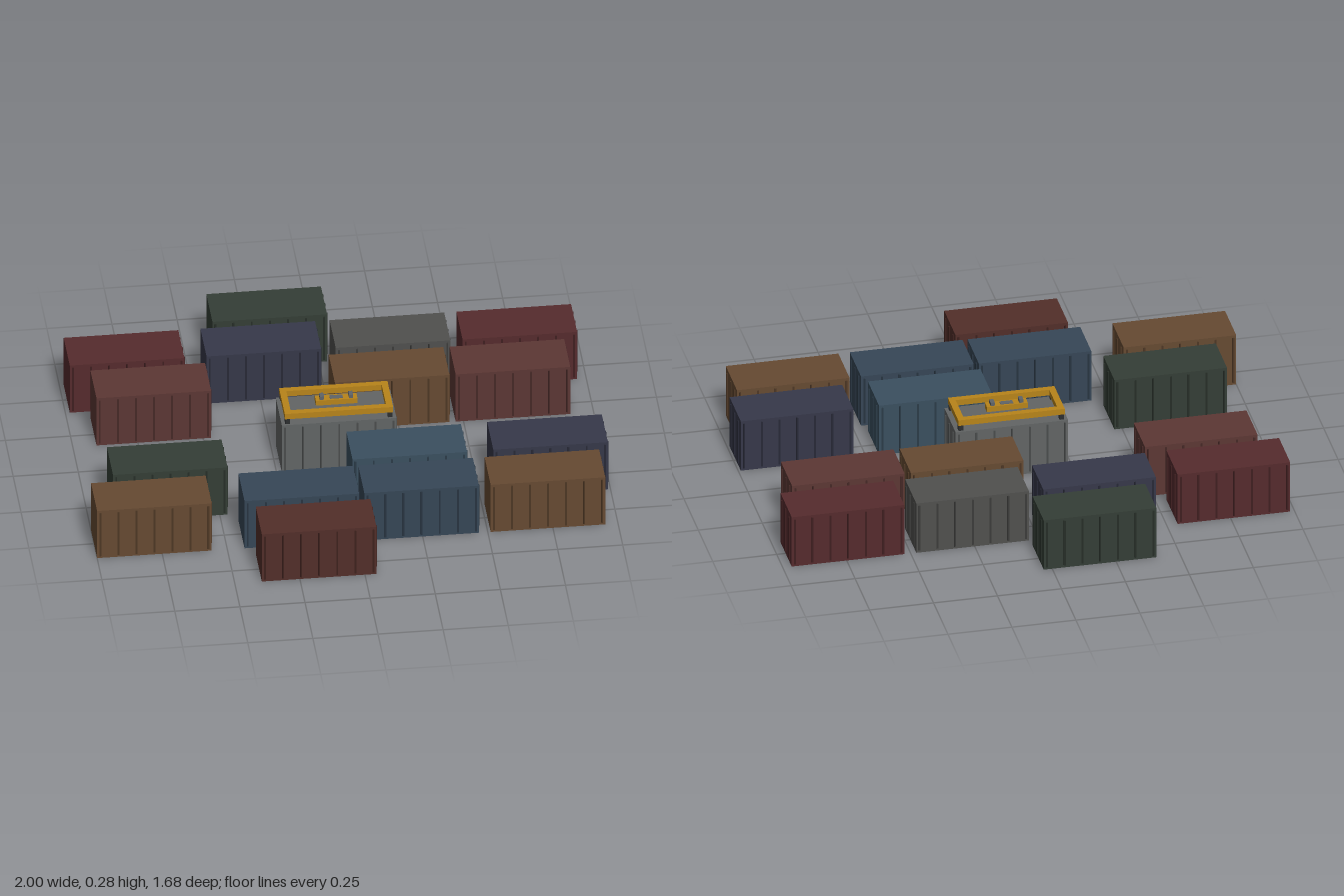
import * as THREE from 'three';

const L = 0.44, H = 0.215, W = 0.194; // container length, height, width

const paint = (color) => new THREE.MeshStandardMaterial({ color });

function addBox(parent, name, material, size, pos) {
  const mesh = new THREE.Mesh(new THREE.BoxGeometry(...size), material);
  mesh.name = name;
  mesh.position.set(...pos);
  parent.add(mesh);
  return mesh;
}

// Shipping container: plain body, thin ribs on both long sides, bars on the +x door end
function makeContainer(color) {
  const group = new THREE.Group();
  group.name = 'container';
  const body = paint(color);
  const rib = paint(new THREE.Color(color).multiplyScalar(0.55));
  addBox(group, 'containerBody', body, [L, H, W], [0, H / 2, 0]);
  for (let i = -3; i <= 3; i++) {
    for (const s of [-1, 1]) {
      addBox(group, 'sideRib', rib, [0.007, H - 0.02, 0.008], [i * 0.0693, H / 2, s * W / 2]);
    }
  }
  for (let i = -1; i <= 1; i++) {
    addBox(group, 'doorBar', rib, [0.01, H - 0.03, 0.007], [L / 2, H / 2, i * 0.065]);
  }
  return group;
}

// Lifting frame that sits on the middle container
function makeSpreader() {
  const group = new THREE.Group();
  group.name = 'liftingFrame';
  const yellow = paint(0xb8841a), dark = paint(0x2c2e30), grey = paint(0x606468);
  const hx = 0.208, hz = 0.091, beam = 0.025, y = 0.25;
  for (const s of [-1, 1]) {
    addBox(group, 'longBeam', yellow, [2 * hx, 0.024, beam], [0, y, s * (hz - beam / 2)]);
    addBox(group, 'crossBeam', yellow, [beam, 0.024, 2 * (hz - beam)], [s * (hx - beam / 2), y, 0]);
    // Corner locks reaching down to the roof
    for (const t of [-1, 1]) {
      addBox(group, 'cornerLock', dark, [0.018, 0.028, 0.018], [s * (hx - 0.011), 0.226, t * (hz - 0.011)]);
    }
    addBox(group, 'liftingLug', grey, [0.016, 0.018, 0.028], [s * 0.056, 0.27, 0]);
  }
  addBox(group, 'headBlock', yellow, [0.16, 0.022, 0.038], [0, 0.254, 0]);
  addBox(group, 'headPlate', grey, [0.05, 0.004, 0.022], [0, 0.265, 0]);
  return group;
}

export function createModel() {
  const model = new THREE.Group();
  model.name = 'containerYard';
  const brown = 0x664a32, red = 0x552b2d, green = 0x343e36, navy = 0x363849;
  const grey = 0x50504e, maroon = 0x5c3734, rust = 0x522e29, blue = 0x364656;

  // x, z and colour of each container
  const layout = [
    [-0.187, -0.743, green],
    [-0.763, -0.508, red], [-0.238, -0.508, navy], [0.258, -0.508, grey], [0.745, -0.508, red],
    [-0.689, -0.271, maroon], [0.226, -0.271, brown], [0.69, -0.271, maroon],
    [-0.01, 0, 0x626565],
    [-0.69, 0.263, green], [0.229, 0.266, 0x3a4f5f], [0.77, 0.263, navy],
    [-0.78, 0.503, brown], [-0.214, 0.503, blue], [0.246, 0.503, blue], [0.731, 0.503, brown],
    [-0.176, 0.739, rust],
  ];
  for (const [x, z, color] of layout) {
    const container = makeContainer(color);
    container.position.set(x, 0, z);
    model.add(container);
  }

  const spreader = makeSpreader();
  spreader.position.x = -0.01;
  model.add(spreader);
  return model;
}
